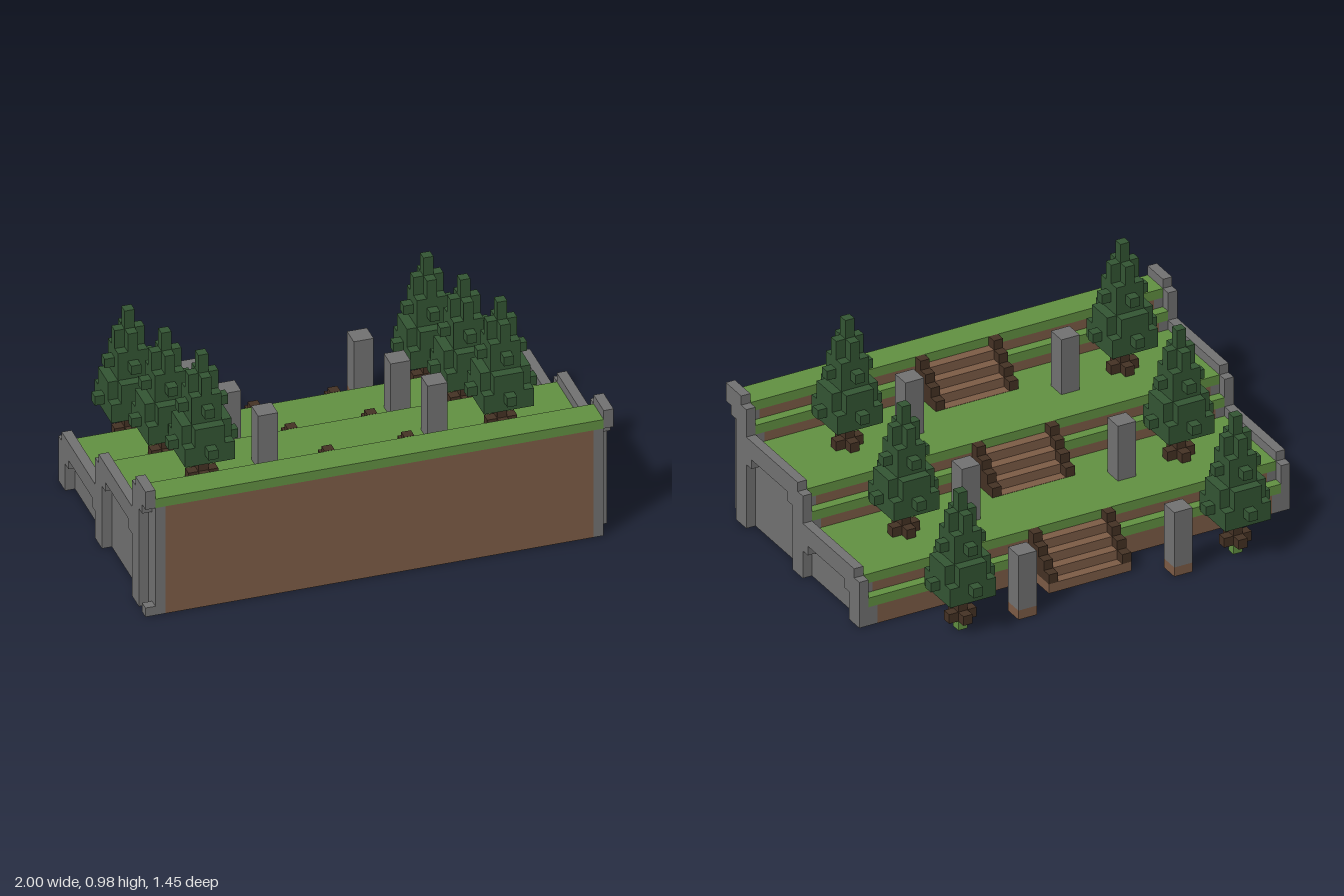
import * as THREE from 'three';

const U = 2 / 47; // one block

const mat = (name, color) => {
  const m = new THREE.MeshStandardMaterial({ color });
  m.name = name;
  return m;
};

export function createModel() {
  const root = new THREE.Group();
  root.name = 'terracedGarden';
  const stone = mat('stone', 0x727272);
  const dirt = mat('dirt', 0x7d5c46);
  const grass = mat('grass', 0x629142);
  const leaves = mat('leaves', 0x345634);
  const wood = mat('darkWood', 0x453224);

  // Box given by its limits in blocks
  const box = (parent, name, material, x0, x1, y0, y1, z0, z1) => {
    const g = new THREE.BoxGeometry((x1 - x0) * U, (y1 - y0) * U, (z1 - z0) * U);
    g.translate(((x0 + x1) / 2) * U, ((y0 + y1) / 2) * U, ((z0 + z1) / 2) * U);
    const m = new THREE.Mesh(g, material);
    m.name = name;
    parent.add(m);
    return m;
  };
  const group = (name, x = 0, y = 0, z = 0) => {
    const g = new THREE.Group();
    g.name = name;
    g.position.set(x * U, y * U, z * U);
    root.add(g);
    return g;
  };

  // Terraces and their ledges: back z, front z, top
  const terraces = group('terraces');
  for (const [z0, z1, top] of [
    [14, 17, 13], [13, 14, 11], [3, 13, 9], [2, 3, 7], [-8, 2, 5], [-9, -8, 3],
  ]) {
    box(terraces, 'terraceDirt', dirt, -21.5, 21.5, 0, top - 1, z0, z1);
    box(terraces, 'terraceGrass', grass, -22.5, 22.5, top - 1, top, z0, z1);
    for (const s of [-22.5, 21.5]) {
      box(terraces, 'innerWall', stone, s, s + 1, 0, top - 1, z0, z1);
    }
  }

  // Stepped outer walls with recessed panels open at the bottom
  const profile = [
    [17, 14], [14, 14], [14, 13], [13, 13], [13, 10], [3, 10], [3, 9], [2, 9],
    [2, 6], [-8, 6], [-8, 5], [-9, 5], [-9, 0], [-7, 0], [-7, 3], [-6, 3],
    [-6, 4], [1, 4], [1, 3], [2, 3], [2, 0], [4, 0], [4, 7], [5, 7], [5, 8],
    [12, 8], [12, 7], [13, 7], [13, 0], [15, 0], [15, 11], [16, 11], [16, 12], [17, 12],
  ];
  const shape = new THREE.Shape(profile.map(([z, y]) => new THREE.Vector2(-z * U, y * U)));
  for (const [name, x] of [['leftWall', 22.5], ['rightWall', -23.5]]) {
    const g = new THREE.ExtrudeGeometry(shape, { depth: U, bevelEnabled: false });
    g.rotateY(Math.PI / 2); // shape x becomes -z, depth becomes x
    g.translate(x * U, 0, 0);
    const wall = new THREE.Mesh(g, stone);
    wall.name = name;
    root.add(wall);
  }
  box(root, 'wallFoot', stone, -23.5, -22.5, 0, 1, 16, 17);

  // Tree standing on its own floor level
  const addTree = (x, y, z) => {
    const t = group('tree', x, y, z);
    const slab = (name, m, w, d, y0, y1) => box(t, name, m, -w / 2, w / 2, y0, y1, -d / 2, d / 2);
    const cross = (name, m, len, wide, y0, y1) => {
      slab(name, m, len, wide, y0, y1);
      slab(name, m, wide, len, y0, y1);
    };
    slab('trunk', wood, 1, 1, 0, 3);
    cross('roots', wood, 3, 1, 0, 1);
    slab('foliage', leaves, 5, 5, 3, 5);
    cross('branches', leaves, 7, 1, 4, 5);
    cross('foliage', leaves, 5, 3, 5, 7);
    slab('foliage', leaves, 3, 3, 7, 10);
    cross('branches', leaves, 5, 1, 8, 9);
    cross('foliage', leaves, 3, 1, 10, 12);
    slab('treeTop', leaves, 1, 1, 12, 14);
  };

  // Each level repeats trees, pillars and a flight of stairs
  for (let i = 0; i < 3; i++) {
    const floor = 9 - 4 * i;
    const dz = -11 * i;
    const last = i === 2;
    for (const s of [-1, 1]) {
      addTree(15 * s, floor, 8.5 + dz);
      const px = 8.5 * s;
      box(root, 'pillar', stone, px - 1, px + 1, floor, floor + 6, 7 + dz, 9 + dz);
      if (last) {
        box(root, 'pillarBase', dirt, px - 1, px + 1, 0, 1, 7 + dz, 9 + dz);
        box(root, 'treeBase', grass, 15 * s - 0.5, 15 * s + 0.5, 0, 1, 8 + dz, 9 + dz);
      }
    }
    const stairs = group('stairs');
    for (let k = 0; k < 4; k++) {
      const z = 10 + k + dz;
      const base = floor - 1;
      box(stairs, 'tread', dirt, -3.5, 3.5, base, floor + k + 0.03, z, z + 1);
      for (const x of [-4.5, 3.5]) {
        box(stairs, 'stringer', wood, x, x + 1, floor, floor + k + 1.02, z, z + 1);
      }
    }
    if (last) box(stairs, 'stairBase', dirt, -4.5, 4.5, 0, 1, -12, -9);
  }
  return root;
}
